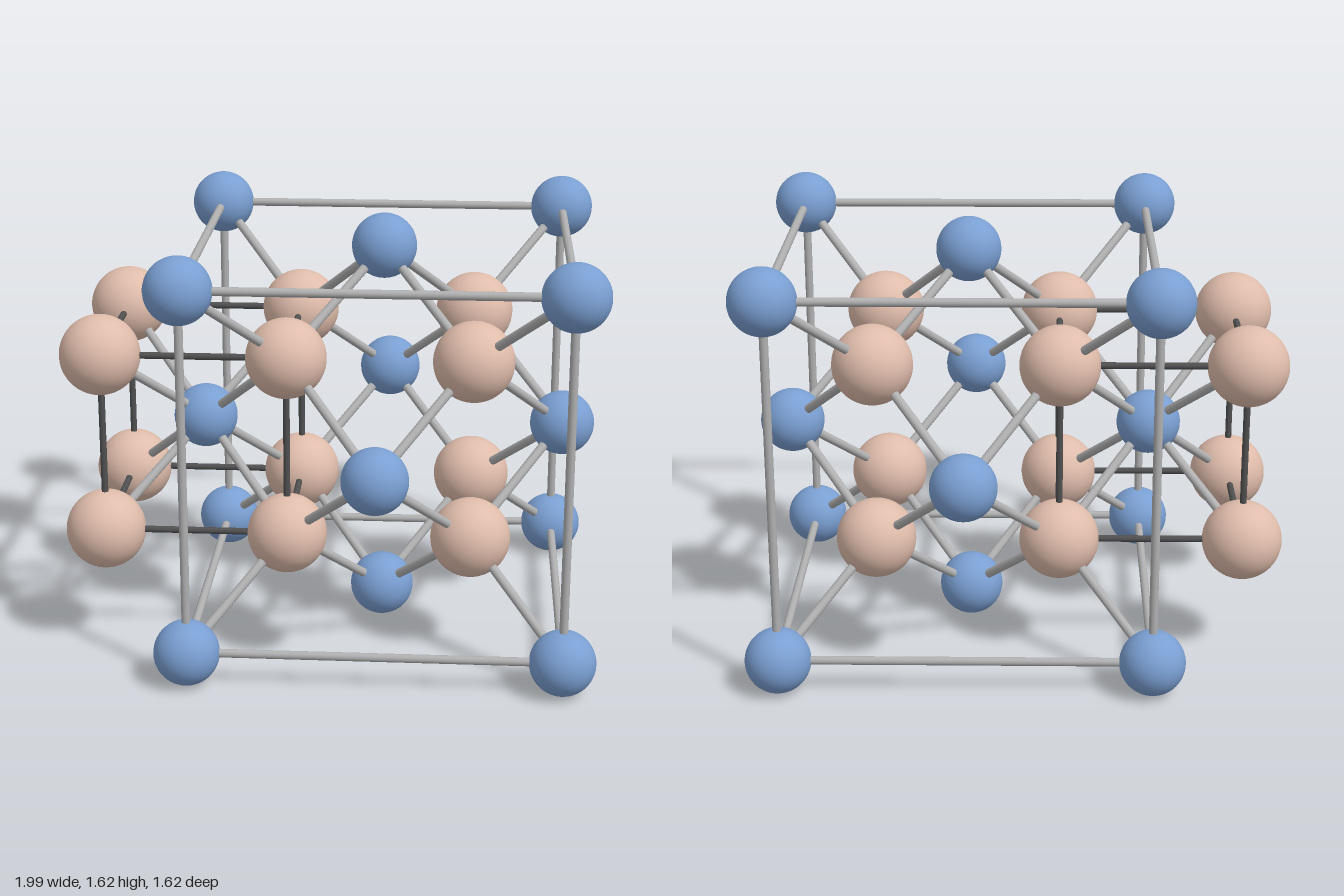
import * as THREE from 'three';

// Crystal unit cell: quarter-cell spacing and cell centre
const Q = 0.3445;
const CENTRE = new THREE.Vector3(0.183, 0.815, 0);

// Lattice coordinates (in quarter cells from the centre) to model space
const at = (p) => new THREE.Vector3(...p).multiplyScalar(Q).add(CENTRE);
const dist = (a, b) => Math.hypot(a[0] - b[0], a[1] - b[1], a[2] - b[2]);

function grid(xs, ys, zs) {
  const out = [];
  for (const x of xs) for (const y of ys) for (const z of zs) out.push([x, y, z]);
  return out;
}

export function createModel() {
  const model = new THREE.Group();
  const material = (color) => new THREE.MeshStandardMaterial({ color });
  const blue = material(0x7a9fd2);
  const pink = material(0xdfbcab);
  const grey = material(0xb0b0b0);
  const dark = material(0x505050);
  const smallBall = new THREE.SphereGeometry(0.1225, 40, 28);
  const largeBall = new THREE.SphereGeometry(0.15, 40, 28);

  function group(name) {
    const g = new THREE.Group();
    g.name = name;
    model.add(g);
    return g;
  }

  function addBalls(parent, name, points, geometry, mat) {
    for (const p of points) {
      const ball = new THREE.Mesh(geometry, mat);
      ball.name = name;
      ball.position.copy(at(p));
      parent.add(ball);
    }
  }

  function addRod(parent, name, p, q, radius, mat) {
    const a = at(p), b = at(q);
    const dir = b.clone().sub(a);
    const rod = new THREE.Mesh(new THREE.CylinderGeometry(radius, radius, dir.length(), 20), mat);
    rod.name = name;
    rod.position.copy(a).add(b).multiplyScalar(0.5);
    rod.quaternion.setFromUnitVectors(new THREE.Vector3(0, 1, 0), dir.normalize());
    parent.add(rod);
  }

  // Join every pair of points that lie a given distance apart
  function addEdges(parent, name, points, length, radius, mat) {
    points.forEach((p, i) => points.slice(i + 1).forEach((q) => {
      if (Math.abs(dist(p, q) - length) < 0.01) addRod(parent, name, p, q, radius, mat);
    }));
  }

  // Small atoms on the corners and face centres
  const corners = grid([-2, 2], [-2, 2], [-2, 2]);
  const faces = [[2, 0, 0], [-2, 0, 0], [0, 2, 0], [0, -2, 0], [0, 0, 2], [0, 0, -2]];
  const smallAtoms = group('smallAtoms');
  addBalls(smallAtoms, 'cornerAtom', corners, smallBall, blue);
  addBalls(smallAtoms, 'faceAtom', faces, smallBall, blue);

  // Large atoms inside the cell, plus four outside its right-hand face
  const inner = grid([-1, 1], [-1, 1], [-1, 1]);
  const outer = grid([-3], [-1, 1], [-1, 1]);
  const largeAtoms = group('largeAtoms');
  addBalls(largeAtoms, 'innerAtom', inner, largeBall, pink);
  addBalls(largeAtoms, 'outerAtom', outer, largeBall, pink);

  // Outer frame of the cell
  addEdges(group('cellFrame'), 'frameRod', corners, 4, 0.016, grey);

  // Dark cube around the side face atom
  const cube = [...outer, ...inner.filter((p) => p[0] < 0)];
  addEdges(group('coordinationCube'), 'cubeRod', cube, 2, 0.0125, dark);

  // Diagonal bonds; outer atoms reach only the side face atom
  const bonds = group('bonds');
  const bondLength = Math.sqrt(3);
  for (const [large, small] of [[inner, [...corners, ...faces]], [outer, faces]])
    for (const p of large)
      for (const q of small)
        if (Math.abs(dist(p, q) - bondLength) < 0.01) addRod(bonds, 'bond', p, q, 0.017, grey);

  return model;
}
